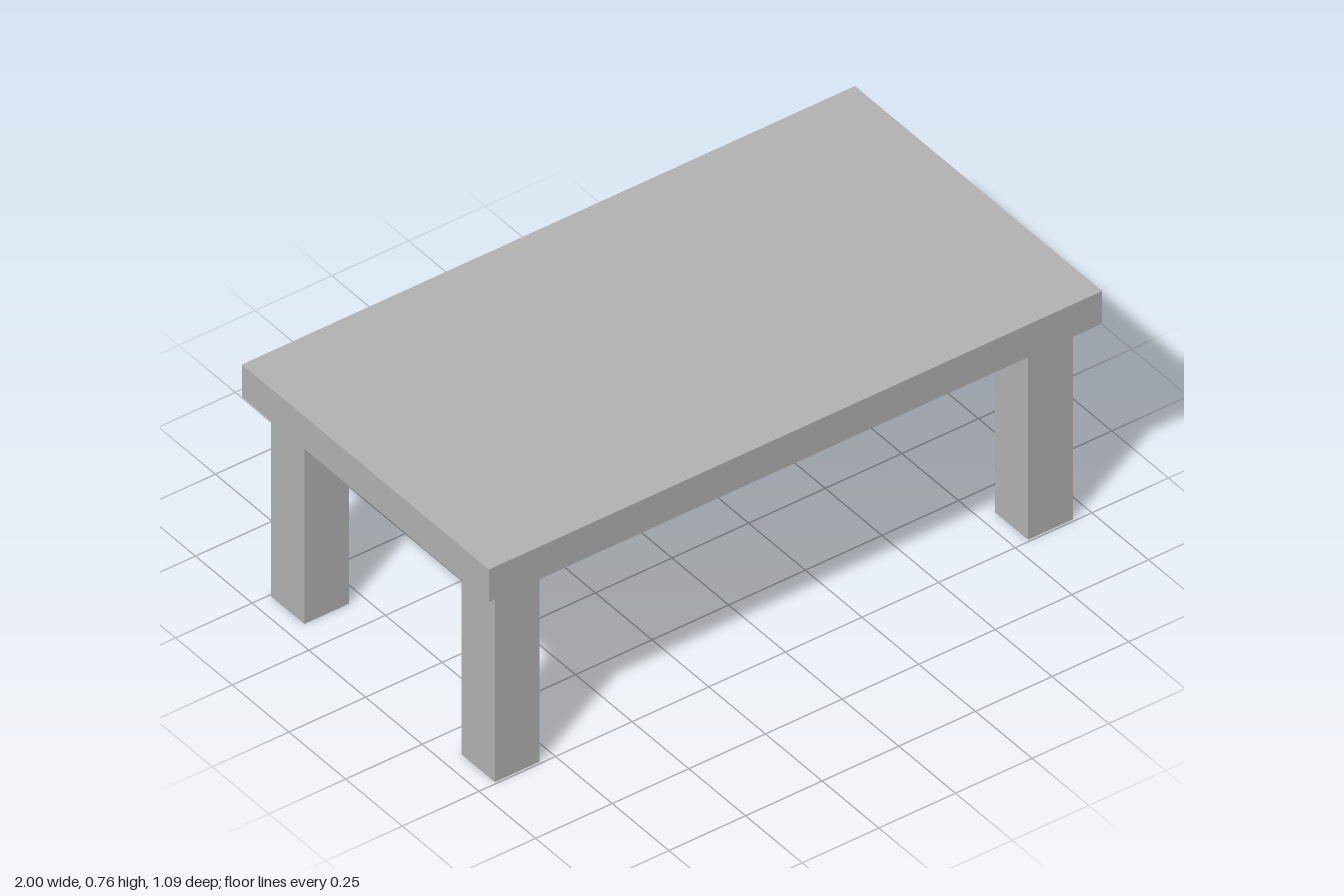
import * as THREE from 'three';

export function createModel() {
  const model = new THREE.Group();
  model.name = 'table';

  const grey = new THREE.MeshStandardMaterial({ color: 0xb3b3b3 });
  grey.name = 'grey';

  const legHeight = 0.657;
  const legWidth = 0.146;
  const topThickness = 0.108;

  // Table top
  const top = new THREE.Mesh(new THREE.BoxGeometry(2, topThickness, 1.09), grey);
  top.name = 'tableTop';
  top.position.y = legHeight + topThickness / 2;
  model.add(top);

  // Four square legs, set in from the corners
  const legGeometry = new THREE.BoxGeometry(legWidth, legHeight, legWidth);
  for (const [zName, z] of [['front', 0.42], ['back', -0.42]]) {
    for (const [xName, x] of [['Left', 0.87], ['Right', -0.87]]) {
      const leg = new THREE.Mesh(legGeometry, grey);
      leg.name = `${zName}${xName}Leg`;
      leg.position.set(x, legHeight / 2, z);
      model.add(leg);
    }
  }

  return model;
}
